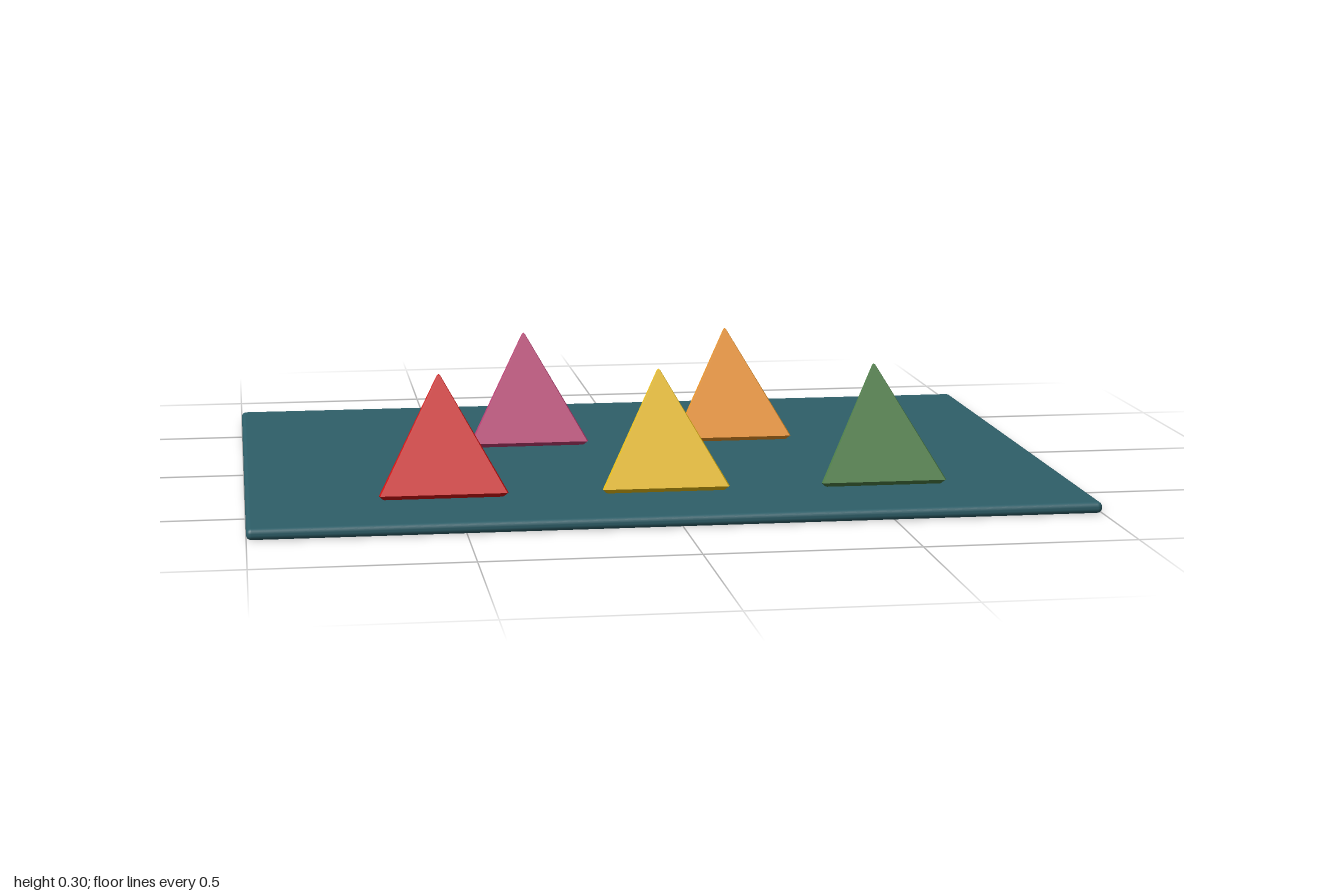
import * as THREE from 'three';
import { RoundedBoxGeometry } from 'three/addons/geometries/RoundedBoxGeometry.js';
import { ConvexGeometry } from 'three/addons/geometries/ConvexGeometry.js';

const material = (name, color) => {
  const m = new THREE.MeshStandardMaterial({ color });
  m.name = name;
  return m;
};

// Triangle outline at height y, scaled about the apex axis, with blunted corners
function triangleRing(y, scale, cut) {
  const corners = [[-0.157, 0.14], [0.157, 0.14], [0, -0.168]]
    .map(([x, z]) => new THREE.Vector3(x * scale, y, z * scale));
  return corners.flatMap((c, i) => [1, 2].map((step) => {
    const other = corners[(i + step) % 3];
    return c.clone().lerp(other, cut);
  }));
}

// Three-sided pyramid with a bevelled foot and a tiny blunt tip
function pyramidGeometry() {
  return new ConvexGeometry([
    ...triangleRing(0, 0.95, 0.03),
    ...triangleRing(0.01, 1, 0.02),
    ...triangleRing(0.273, 0.035, 0.2),
    new THREE.Vector3(0, 0.277, 0),
  ]);
}

export function createModel() {
  const model = new THREE.Group();
  model.name = 'pyramidBoard';
  const thickness = 0.027;

  // Flat board with rounded edges
  const board = new THREE.Mesh(
    new RoundedBoxGeometry(2, thickness, 1.46, 3, 0.012),
    material('teal', 0x2e5f69));
  board.name = 'board';
  board.position.y = thickness / 2;
  model.add(board);

  // Three pyramids in the front row, two behind
  const geometry = pyramidGeometry();
  const pieces = [
    ['red', 0xcc0c0c, -0.533, 0.332],
    ['yellow', 0xe3b80f, 0, 0.332],
    ['green', 0x4a7a43, 0.533, 0.332],
    ['magenta', 0xb43a6e, -0.267, -0.268],
    ['orange', 0xe38f25, 0.267, -0.268],
  ];
  for (const [name, color, x, z] of pieces) {
    const pyramid = new THREE.Mesh(geometry, material(name, color));
    pyramid.name = name + 'Pyramid';
    pyramid.position.set(x, thickness, z);
    model.add(pyramid);
  }
  return model;
}
